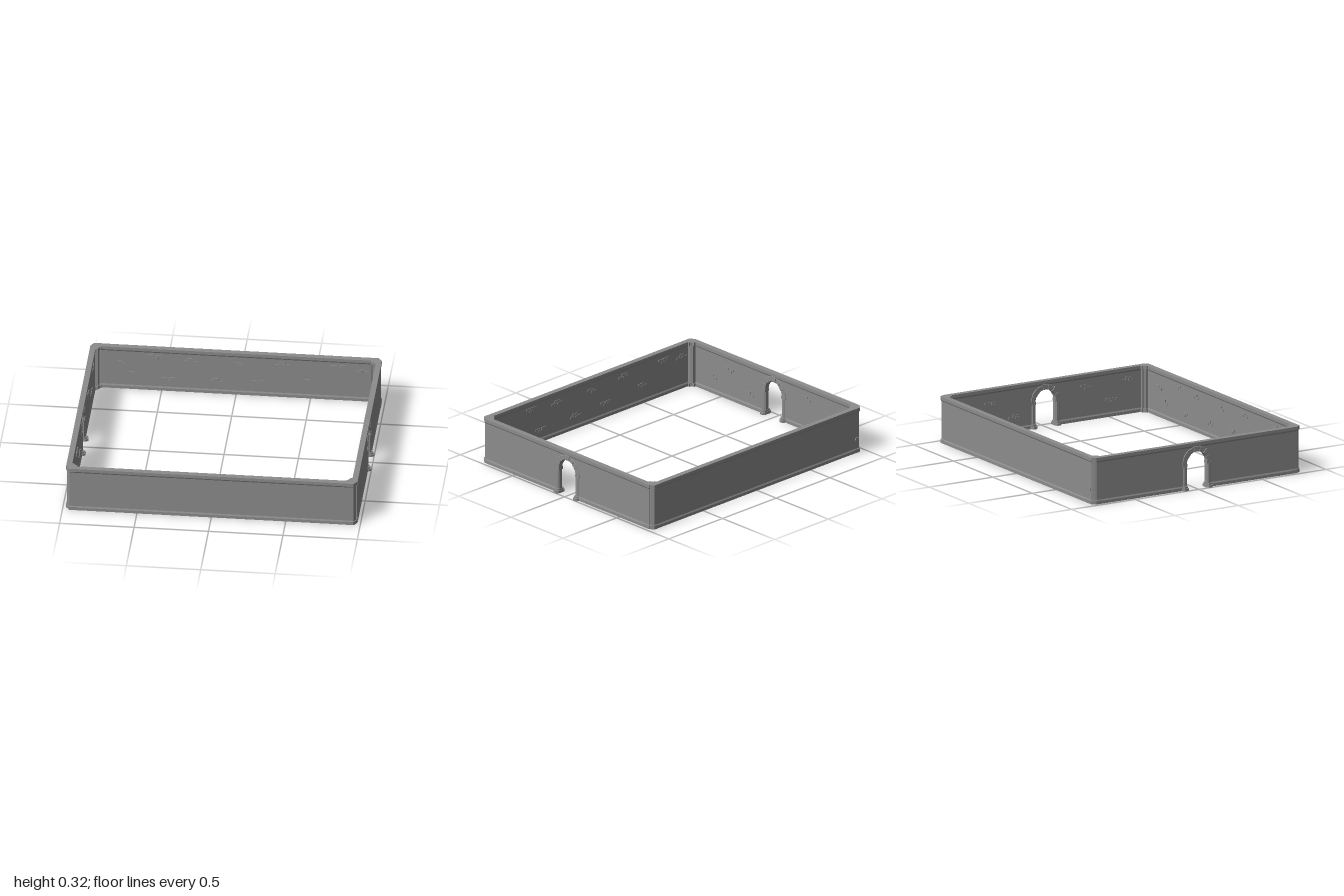
import * as THREE from 'three';

const mat = new THREE.MeshStandardMaterial({ color: 0x8c8c8c, flatShading: true });
const WX = 0.96, WZ = 0.8, H = 0.32;   // wall centre lines and height
const SPRING = 0.18, R_IN = 0.078, R_OUT = 0.114;

function add(parent, name, geo, x = 0, y = 0, z = 0) {
  const m = new THREE.Mesh(geo, mat);
  m.name = name;
  m.position.set(x, y, z);
  parent.add(m);
}
const shapeOf = pts => new THREE.Shape(pts.map(p => new THREE.Vector2(p[0], p[1])));

// Plan outline (x, z) raised from y0 to y1
function prism(pts, y0, y1) {
  const g = new THREE.ExtrudeGeometry(shapeOf(pts.map(([x, z]) => [x, -z])), { depth: y1 - y0, bevelEnabled: false });
  g.rotateX(-Math.PI / 2);
  return g.translate(0, y0, 0);
}

// Moulding profile (depth, y) run along local x from x0 to x1
function run(profile, x0, x1) {
  const g = new THREE.ExtrudeGeometry(shapeOf(profile), { depth: x1 - x0, bevelEnabled: false });
  g.rotateY(Math.PI / 2);
  return g.translate(x0, 0, 0);
}

// Upright outline centred on local z
function slab(shape, depth, bevel = 0) {
  const g = new THREE.ExtrudeGeometry(shape, {
    depth: depth - 2 * bevel, bevelEnabled: bevel > 0, bevelSize: bevel, bevelThickness: bevel,
    bevelOffset: -bevel, bevelSegments: 1, curveSegments: 14,
  });
  return g.translate(0, 0, bevel - depth / 2);
}

const mirrored = half => [...half, ...half.map(([a, y]) => [-a, y]).reverse()];
const CAP = mirrored([[0.014, 0.288], [0.019, 0.298], [0.019, H]]);
const BASE = mirrored([[0.019, 0], [0.019, 0.02], [0.014, 0.03]]);

// Bricks standing proud of the plaster, in clusters of two or three
function brickCluster(parent, x, y, i) {
  const w = 0.046, h = 0.016;
  const layouts = [
    [[0, 0], [0.03, -h]],
    [[-0.025, 0], [0.025, 0], [0.004, -h]],
    [[0, 0], [-0.026, -h], [0.024, -h]],
  ];
  for (const [dx, dy] of layouts[i % 3])
    add(parent, 'brick', new THREE.BoxGeometry(w, h - 0.001, 0.01), x + dx, y + dy, 0.0138);
}

// Local frame of every wall: length on x, inner face towards +z
function longWall() {
  const g = new THREE.Group();
  const L = WX - 0.008;
  add(g, 'wallPanel', new THREE.BoxGeometry(2 * L, H - 0.02, 0.028), 0, H / 2, 0);
  add(g, 'wallCap', run(CAP, -L, L));
  add(g, 'wallBase', run(BASE, -L, L));
  [[-0.79, 0.21], [-0.55, 0.265], [-0.31, 0.25], [-0.71, 0.125], [-0.46, 0.095], [-0.14, 0.105], [0, 0.24],
    [0.14, 0.11], [0.31, 0.26], [0.47, 0.14], [0.68, 0.26], [0.85, 0.24]]
    .forEach(([x, y], i) => brickCluster(g, x, y, i));
  return g;
}

function gateWall() {
  const g = new THREE.Group();
  const L = WZ - 0.01, r = 0.09;
  // Panel with the arched opening
  const s = new THREE.Shape();
  s.moveTo(-L, 0.005);
  s.lineTo(-r, 0.005);
  s.lineTo(-r, SPRING);
  s.absarc(0, SPRING, r, Math.PI, 0, true);
  s.lineTo(r, 0.005);
  s.lineTo(L, 0.005);
  s.lineTo(L, H - 0.01);
  s.lineTo(-L, H - 0.01);
  add(g, 'wallPanel', slab(s, 0.028));
  add(g, 'wallCap', run(CAP, -L, L));
  add(g, 'wallBase', run(BASE, -L, -0.1));
  add(g, 'wallBase', run(BASE, 0.1, L));
  [[-0.43, 0.22], [-0.24, 0.11], [0.3, 0.24], [0.52, 0.12], [0.65, 0.25], [-0.6, 0.13]]
    .forEach(([x, y], i) => brickCluster(g, x, y, i + 1));
  g.add(archway());
  return g;
}

// Stretched octagon plan for jamb columns
const octagon = (a, d) => [[a, d * 0.6], [a * 0.5, d], [-a * 0.5, d], [-a, d * 0.6],
  [-a, -d * 0.6], [-a * 0.5, -d], [a * 0.5, -d], [a, -d * 0.6]];

function archway() {
  const g = new THREE.Group();
  g.name = 'archway';
  for (const side of [-1, 1]) {
    const x = side * 0.094;
    add(g, 'columnPlinth', prism(octagon(0.025, 0.04), 0, 0.016), x);
    add(g, 'columnFoot', prism(octagon(0.021, 0.031), 0.016, 0.028), x);
    add(g, 'columnShaft', prism(octagon(0.017, 0.021), 0.028, 0.165), x);
    add(g, 'springerBlock', new THREE.BoxGeometry(0.038, 0.02, 0.038), side * 0.096, 0.172, 0);
  }
  // Wedge stones, alternately larger
  const n = 7, step = Math.PI / n;
  for (let i = 0; i < n; i++) {
    const big = i % 2, ro = R_OUT + big * 0.002, ri = R_IN - big * 0.001;
    const a = i * step, pts = [];
    for (const t of [0, 0.5, 1]) pts.push([ro * Math.cos(a + t * step), SPRING + ro * Math.sin(a + t * step)]);
    for (const t of [1, 0.5, 0]) pts.push([ri * Math.cos(a + t * step), SPRING + ri * Math.sin(a + t * step)]);
    add(g, 'archStone', slab(shapeOf(pts), 0.036 + big * 0.005, 0.003));
  }
  return g;
}

// Corner post plan with chamfered outer and inner edges, shrunk by k
function cornerPlan(sx, sz, k) {
  const pts = [[0.979 - k, 0.745 + k], [0.979 - k, 0.782], [0.964 - k, 0.782], [0.956 - k * 0.5, 0.82 - k],
    [0.905 + k, 0.82 - k], [0.905 + k, 0.768], [0.912 + k, 0.768 + k], [0.925 + k * 0.5, 0.755 + k], [0.925, 0.745 + k]];
  pts.splice(2, 1, [0.972 - k, 0.796]);
  return pts.map(([x, z]) => [x * sx, z * sz]);
}

export function createModel() {
  const model = new THREE.Group();
  model.name = 'walledEnclosure';

  for (const s of [-1, 1]) {
    const long = longWall();
    long.name = s > 0 ? 'frontWall' : 'backWall';
    long.position.z = s * WZ;
    long.rotation.y = s > 0 ? Math.PI : 0;
    model.add(long);

    const gate = gateWall();
    gate.name = s > 0 ? 'leftGateWall' : 'rightGateWall';
    gate.position.x = s * WX;
    gate.rotation.y = -s * Math.PI / 2;
    model.add(gate);

    for (const t of [-1, 1]) {
      const post = new THREE.Group();
      post.name = 'cornerPost';
      add(post, 'postBase', prism(cornerPlan(s, t, 0), 0, 0.024));
      add(post, 'postShaft', prism(cornerPlan(s, t, 0.006), 0.02, 0.3));
      add(post, 'postCap', prism(cornerPlan(s, t, 0), 0.297, H));
      model.add(post);
    }
  }

  // Single loose brick on the outside of the back wall
  add(model, 'looseBrick', new THREE.BoxGeometry(0.03, 0.016, 0.014), -0.93, 0.1, -0.814);
  return model;
}
